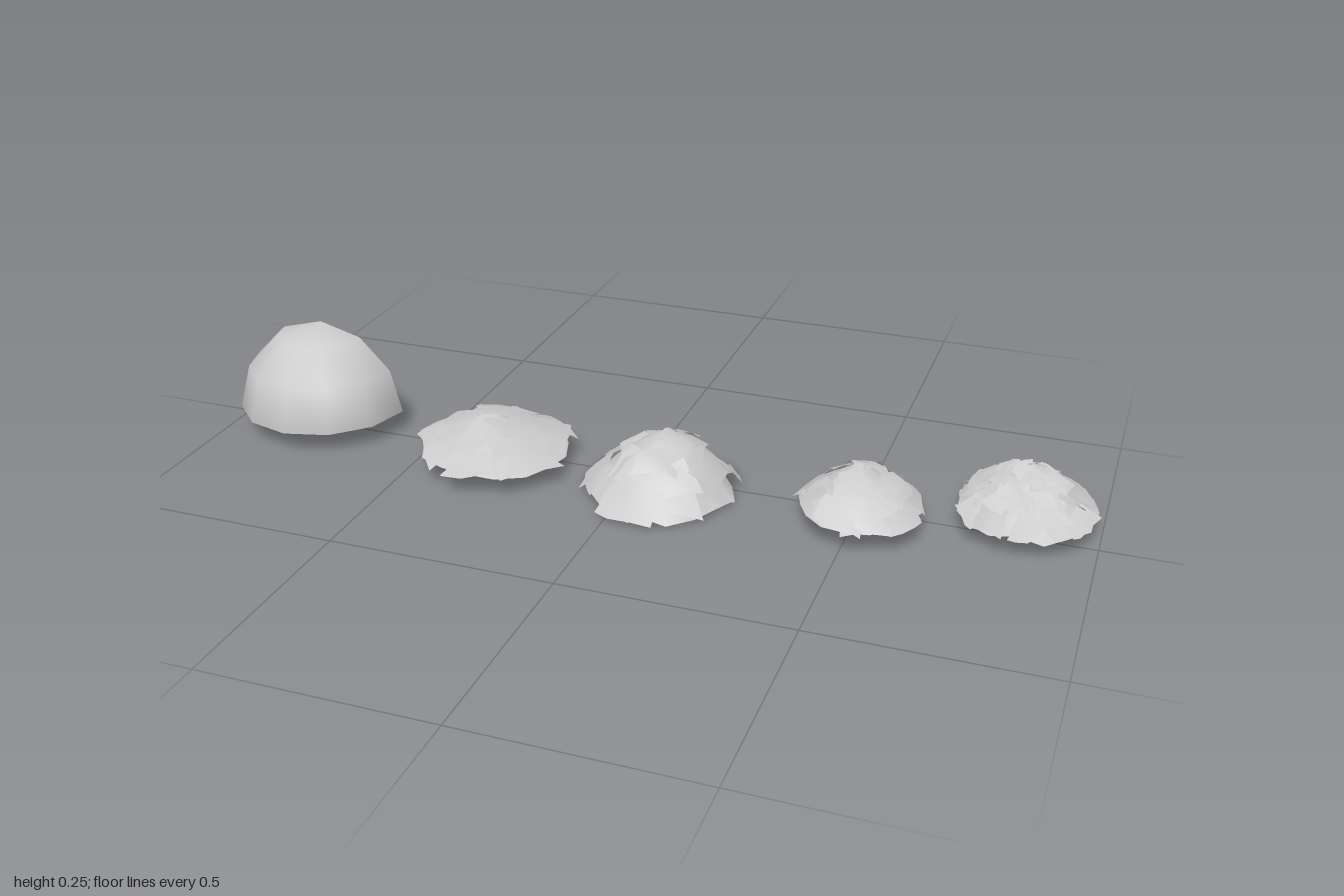
import * as THREE from 'three';
import { mergeGeometries } from 'three/addons/utils/BufferGeometryUtils.js';

const grey = new THREE.MeshStandardMaterial({ color: 0xcccccc, side: THREE.DoubleSide });

function seeded(seed) {
  let s = seed;
  return () => {
    s = (s * 16807) % 2147483647;
    return s / 2147483647;
  };
}

function add(parent, name, geometry) {
  const mesh = new THREE.Mesh(geometry, grey);
  mesh.name = name;
  parent.add(mesh);
}

// Grid surface from a point function of u (rows) and v (columns)
function gridSurface(rows, cols, point) {
  const pos = [], idx = [];
  for (let i = 0; i <= rows; i++) for (let j = 0; j <= cols; j++) pos.push(...point(i / rows, j / cols));
  for (let i = 0; i < rows; i++) {
    for (let j = 0; j < cols; j++) {
      const a = i * (cols + 1) + j, b = a + 1, c = a + cols + 1, d = c + 1;
      idx.push(a, b, c, b, d, c);
    }
  }
  const g = new THREE.BufferGeometry();
  g.setAttribute('position', new THREE.Float32BufferAttribute(pos, 3));
  g.setIndex(idx);
  g.computeVertexNormals();
  return g;
}

// Quarter ball with flat back and flat base
function createDome() {
  const dome = new THREE.Group();
  dome.name = 'dome';
  add(dome, 'domeShell', new THREE.SphereGeometry(0.2, 6, 3, 0, Math.PI, 0, Math.PI / 2));
  const half = new THREE.CircleGeometry(0.2, 6, 0, Math.PI);
  add(dome, 'domeBack', half.clone().rotateY(Math.PI));
  add(dome, 'domeBase', half.clone().rotateX(Math.PI / 2));
  dome.position.set(-0.8, 0.05, -0.027);
  return dome;
}

// Lumpy mound of about unit radius and height, covered in plates that overlap in steps
function createMound({ name, center, size, profile, under, follow, rings, seed, jag }) {
  const rand = seeded(seed);
  const jitter = (a) => (rand() * 2 - 1) * a;
  const [top, slope, bend] = profile;
  const height = (r) => top - slope * r - bend * r * r;
  const mound = new THREE.Group();
  mound.name = name;

  // Closed core with a ragged rim; the underside runs from the rim to its middle
  const [rimHeight, baseHeight] = under;
  const sides = 16;
  const rim = Array.from({ length: sides }, () => [0.98 + jitter(0.07), rimHeight + jitter(0.05)]);
  const corePoint = (radius, y) => (u, v) => {
    const k = Math.round(v * sides), t = (k / sides) * Math.PI * 2;
    const [reach, rimY] = rim[k % sides], r = radius(u);
    return [Math.sin(t) * r * reach, r === 1 ? rimY : y(r), Math.cos(t) * r * reach];
  };
  add(mound, name + 'Core', gridSurface(5, sides, corePoint((u) => 1 - u, (r) => height(r) - 0.04)));
  add(mound, name + 'Base', gridSurface(2, sides, corePoint((u) => u, () => baseHeight)));

  // Plates, ring by ring from the rim to the crown; each is flatter than the mound, so its outer edge stands proud
  const plates = [];
  for (const [count, radius, width, length] of rings) {
    const offset = rand() * 6;
    for (let k = 0; k < count; k++) {
      const t = offset + ((k + jitter(0.25)) / count) * Math.PI * 2;
      const rc = radius + jitter(0.06), lift = 0.01 + rand() * 0.07;
      const skew = jitter(0.35), tilt = jitter(0.08);
      const w = width * (1 + jitter(0.25)), l = length * (1 + jitter(0.15));
      plates.push(gridSurface(3, 3, (u, v) => {
        const out = 0.5 - u, across = v - 0.5;
        const edge = Math.abs(out) === 0.5 || Math.abs(across) === 0.5 ? jag : 0.01;
        const rad = rc + out * l + jitter(edge);
        const side = across * w * (1 + 0.2 * out) + skew * out * l + jitter(edge);
        const r = Math.hypot(rad, side);
        const fit = Math.min(1, 1.1 / r);
        const y = height(rc) + follow * (height(r * fit) - height(rc)) + lift + tilt * across * 2 + jitter(0.02);
        return [
          (Math.sin(t) * rad + Math.cos(t) * side) * fit,
          Math.max(rimHeight, y),
          (Math.cos(t) * rad - Math.sin(t) * side) * fit,
        ];
      }));
    }
  }
  add(mound, name + 'Plates', mergeGeometries(plates));
  mound.position.set(...center);
  mound.scale.set(...size);
  return mound;
}

export function createModel() {
  const model = new THREE.Group();
  model.name = 'domeAndMounds';
  model.add(createDome());

  // Each ring: plate count, radius, plate width, plate length
  const broad = [[7, 0.8, 0.74, 0.4], [5, 0.5, 0.66, 0.46], [4, 0.23, 0.46, 0.48]];
  const layered = [[8, 0.82, 0.7, 0.36], [7, 0.62, 0.6, 0.36], [5, 0.42, 0.52, 0.38], [4, 0.2, 0.38, 0.4]];
  const ragged = [[11, 0.84, 0.46, 0.34], [10, 0.65, 0.42, 0.32], [8, 0.46, 0.36, 0.3], [6, 0.28, 0.3, 0.28], [4, 0.12, 0.24, 0.26]];
  const mounds = [
    {
      name: 'lowMound', center: [-0.33, 0.03, 0.045], size: [0.177, 0.094, 0.173],
      profile: [0.93, 0.5, 0.28], under: [0.13, 0.05], follow: 0.8, rings: broad, seed: 11, jag: 0.035,
    },
    {
      name: 'wideMound', center: [0.07, 0, 0.048], size: [0.166, 0.147, 0.174],
      profile: [0.94, 0.3, 0.58], under: [0.06, 0.08], follow: 0.85, rings: layered, seed: 29, jag: 0.035,
    },
    {
      name: 'smallMound', center: [0.51, 0.03, 0.05], size: [0.13, 0.117, 0.139],
      profile: [0.95, 0.4, 0.42], under: [0.13, 0.04], follow: 0.8, rings: layered, seed: 47, jag: 0.04,
    },
    {
      name: 'raggedMound', center: [0.84, 0.025, -0.068], size: [0.147, 0.118, 0.16],
      profile: [0.95, 0.55, 0.3], under: [0.12, 0.1], follow: 0.75, rings: ragged, seed: 83, jag: 0.055,
    },
  ];
  mounds.forEach((m) => model.add(createMound(m)));
  return model;
}
